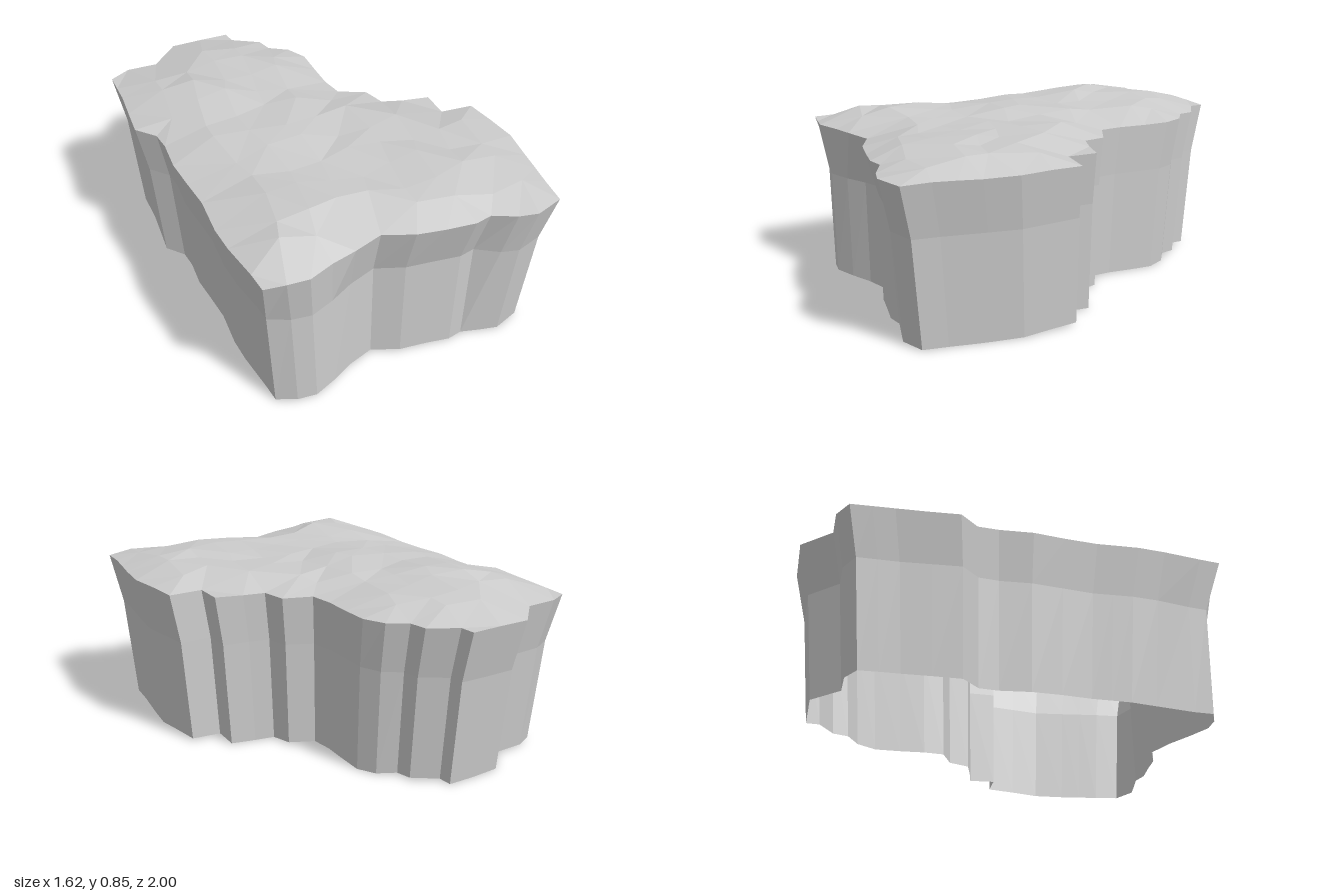
import * as THREE from 'three';
import { ConvexGeometry } from 'three/addons/geometries/ConvexGeometry.js';

// Plan outline of the plateau as [x, z], running back, right, front, left
const OUTLINE = [
  [-.79, -.81], [-.69, -.86], [-.54, -.86], [-.40, -1], [-.10, -1], [-.09, -.93], [.04, -.85],
  [.06, -.77], [.15, -.71], [.20, -.61], [.20, -.34], [.22, -.23], [.35, -.17], [.38, -.06],
  [.48, -.03], [.61, 0], [.61, .14], [.77, .15], [.81, .45], [.79, .61], [.76, .82], [.75, .95],
  [.61, 1], [.52, .98], [.41, .93], [.33, .95], [.06, .91], [-.08, .85], [-.22, .90],
  [-.34, .93], [-.46, .98], [-.66, .96], [-.67, .86], [-.70, .67], [-.71, .54], [-.70, .34],
  [-.73, .03], [-.72, -.13], [-.73, -.23], [-.81, -.32], [-.79, -.61],
];

// Low mounds on the top: x, z, extra height
const MOUNDS = [[-.40, -.40, .045], [-.38, .64, .035], [-.25, .02, .028], [.33, .66, .018], [-.4, -.72, .01]];

// Split long edges so the rim is evenly divided
function makeRim() {
  const rim = [];
  OUTLINE.forEach(([x, z], i) => {
    const [x2, z2] = OUTLINE[(i + 1) % OUTLINE.length];
    const n = Math.ceil(Math.hypot(x2 - x, z2 - z) / 0.2);
    for (let k = 0; k < n; k++) rim.push([x + (x2 - x) * k / n, z + (z2 - z) * k / n]);
  });
  return rim;
}

function isInside(x, z) {
  let inside = false;
  OUTLINE.forEach(([ax, az], i) => {
    const [bx, bz] = OUTLINE[(i + 1) % OUTLINE.length];
    if ((az > z) !== (bz > z) && x < ax + (bx - ax) * (z - az) / (bz - az)) inside = !inside;
  });
  return inside;
}

function rimDistance(x, z) {
  let best = Infinity;
  OUTLINE.forEach(([ax, az], i) => {
    const [bx, bz] = OUTLINE[(i + 1) % OUTLINE.length];
    const dx = bx - ax, dz = bz - az;
    const t = THREE.MathUtils.clamp(((x - ax) * dx + (z - az) * dz) / (dx * dx + dz * dz), 0, 1);
    best = Math.min(best, Math.hypot(x - ax - t * dx, z - az - t * dz));
  });
  return best;
}

// Height of the ground: a sloping rim, a flat middle, mounds and small bumps
function groundHeight(x, z) {
  const rise = Math.min(rimDistance(x, z) / 0.18, 1);
  let y = 0.768 + 0.05 * rise + (0.003 + 0.006 * rise) * Math.sin(17 * x + 5 * z) * Math.cos(19 * z - 7 * x);
  for (const [mx, mz, h] of MOUNDS) y += rise * h * Math.exp(-((x - mx) ** 2 + (z - mz) ** 2) / 0.04);
  return y;
}

function facets(positions) {
  const g = new THREE.BufferGeometry();
  g.setAttribute('position', new THREE.Float32BufferAttribute(positions, 3));
  g.computeVertexNormals();
  return g;
}

// Faceted ground: points lifted to a paraboloid, whose lower hull is an even triangulation
function makeGround(rim) {
  const points = [...rim];
  for (let i = -6; i <= 6; i++) {
    for (let j = -7; j <= 7; j++) {
      const x = i * 0.16 + 0.035 * Math.sin(i * 12.9 + j * 7.3);
      const z = j * 0.16 + 0.035 * Math.sin(i * 4.7 + j * 15.1);
      if (isInside(x, z) && rimDistance(x, z) > 0.11) points.push([x, z]);
    }
  }
  const lifted = points.map(([x, z]) => new THREE.Vector3(x, x * x + z * z, z));
  const hull = new ConvexGeometry(lifted).getAttribute('position');
  const out = [];
  for (let i = 0; i < hull.count; i += 3) {
    const [a, b, c] = [0, 1, 2].map(k => new THREE.Vector3().fromBufferAttribute(hull, i + k));
    const normalY = (b.z - a.z) * (c.x - a.x) - (b.x - a.x) * (c.z - a.z);
    if (normalY >= 0 || !isInside((a.x + b.x + c.x) / 3, (a.z + b.z + c.z) / 3)) continue;
    for (const p of [a, c, b]) out.push(p.x, groundHeight(p.x, p.z), p.z);
  }
  return facets(out);
}

// Cliff wall: the rim carried down two steps while drawing inwards
function makeCliff(rim) {
  const columns = rim.map(([x, z]) => {
    let mid = 0.945, low = 0.9;
    if (z > 0.8 && x < 0.45) mid = low = 0.925;
    if (z > 0.8 && x < -0.3 && x > -0.6) mid = low = 0.96;
    return [
      [x * 0.9, 0.012 + 0.005 * Math.sin(9 * x + 6 * z), z * low],
      [x * 0.945, 0.525 + 0.006 * Math.sin(5 * x), z * mid],
      [x, groundHeight(x, z), z],
    ];
  });
  const out = [];
  columns.forEach((a, i) => {
    const b = columns[(i + 1) % columns.length];
    for (let k = 0; k < 2; k++) out.push(...a[k], ...a[k + 1], ...b[k], ...b[k], ...a[k + 1], ...b[k + 1]);
  });
  return facets(out);
}

export function createModel() {
  const group = new THREE.Group();
  group.name = 'rockPlateau';
  const material = new THREE.MeshStandardMaterial({ color: 0xcccccc, flatShading: true, side: THREE.DoubleSide });
  const rim = makeRim();
  const parts = { ground: makeGround(rim), cliffWall: makeCliff(rim) };
  for (const [name, geometry] of Object.entries(parts)) {
    const mesh = new THREE.Mesh(geometry, material);
    mesh.name = name;
    group.add(mesh);
  }
  return group;
}
